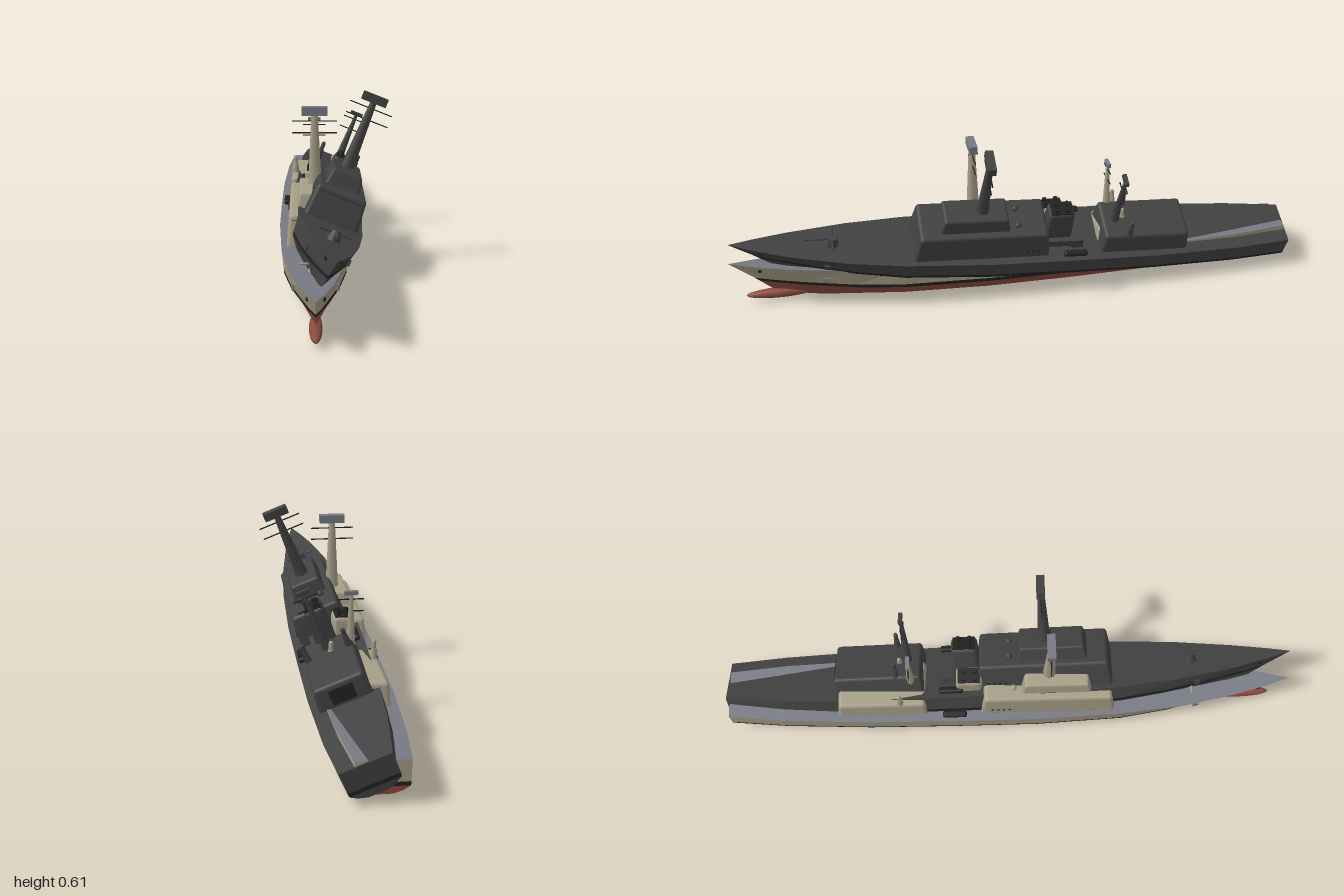
import * as THREE from 'three';
import { RoundedBoxGeometry } from 'three/addons/geometries/RoundedBoxGeometry.js';

const mat = (name, color) => {
  const m = new THREE.MeshStandardMaterial({ color, side: THREE.DoubleSide });
  m.name = name;
  return m;
};

// Hull rows from keel to deck: half widths and heights per station, z of the stem end
const T = [-1, -0.8, -0.5, -0.2, 0.1, 0.4, 0.6, 0.8, 0.92, 1];
const WL = [0.058, 0.057, 0.056, 0.056, 0.056, 0.058, 0.062, 0.07, 0.078, 0.085];
const WLX = [0.08, 0.098, 0.111, 0.114, 0.114, 0.1, 0.075, 0.038, 0.016, 0];
const ROWS = [
  { end: 0.78, x: [0.03, 0.035, 0.04, 0.04, 0.04, 0.035, 0.022, 0.01, 0.004, 0],
    y: [0.035, 0.018, 0.003, 0, 0, 0, 0, 0.005, 0.012, 0.025] },
  { end: 0.86, x: [0.06, 0.075, 0.085, 0.09, 0.09, 0.072, 0.048, 0.022, 0.009, 0],
    y: [0.045, 0.03, 0.022, 0.02, 0.02, 0.02, 0.024, 0.032, 0.04, 0.05] },
  { end: 0.9, x: WLX, y: WL },
  { end: 0.915, x: WLX.map(v => v * 1.015), y: WL.map(v => v + 0.013) },
  { end: 1, x: [0.083, 0.103, 0.117, 0.12, 0.12, 0.108, 0.088, 0.053, 0.024, 0],
    y: [0.14, 0.137, 0.135, 0.135, 0.135, 0.137, 0.142, 0.15, 0.158, 0.165] },
];
const hullPoint = (r, i, s) => {
  const t = T[i], z = t < 0.4 ? t : 0.4 + (t - 0.4) * (ROWS[r].end - 0.4) / 0.6;
  return [s * ROWS[r].x[i], ROWS[r].y[i], z];
};
const facets = (quads) => {
  const pos = [];
  for (const [a, b, c, d] of quads) pos.push(...a, ...b, ...c, ...a, ...c, ...d);
  const g = new THREE.BufferGeometry();
  g.setAttribute('position', new THREE.Float32BufferAttribute(pos, 3));
  g.computeVertexNormals();
  return g;
};
// Skin between two hull rows on the given sides, with its share of the transom
function hullBand(lo, hi) {
  const q = [];
  for (let i = 0; i < T.length - 1; i++) {
    q.push([hullPoint(lo, i, 1), hullPoint(lo, i + 1, 1), hullPoint(hi, i + 1, 1), hullPoint(hi, i, 1)].reverse());
    q.push([hullPoint(lo, i, -1), hullPoint(lo, i + 1, -1), hullPoint(hi, i + 1, -1), hullPoint(hi, i, -1)]);
  }
  q.push([hullPoint(lo, 0, -1), hullPoint(hi, 0, -1), hullPoint(hi, 0, 1), hullPoint(lo, 0, 1)]);
  return q;
}
function hullFloor(r, up) {
  const q = [];
  for (let i = 0; i < T.length - 1; i++) {
    const f = [hullPoint(r, i, -1), hullPoint(r, i + 1, -1), hullPoint(r, i + 1, 1), hullPoint(r, i, 1)];
    q.push(up ? f : f.reverse());
  }
  return q;
}
// Make sure every outward face points away from the hull axis
function orient(quads) {
  for (const q of quads) {
    const [a, b, c, d] = q.map(p => new THREE.Vector3(...p));
    const n = c.clone().sub(a).cross(d.clone().sub(b));
    const m = a.add(b).add(c).add(d).divideScalar(4);
    if (n.dot(new THREE.Vector3(m.x, m.y - 0.08, m.z < -0.99 ? -1 : 0)) < 0) q.reverse();
  }
  return facets(quads);
}

// Rounded block whose sides lean in towards the roof
function taperedBlock(w, h, d, taperX, taperZ, r) {
  const g = new RoundedBoxGeometry(w, h, d, 2, r);
  const p = g.attributes.position;
  for (let i = 0; i < p.count; i++) {
    const k = p.getY(i) / h + 0.5;
    p.setX(i, p.getX(i) * (1 - taperX * k));
    p.setZ(i, p.getZ(i) * (1 - taperZ * k));
  }
  g.computeVertexNormals();
  return g;
}

function buildShip(c, underwaterFittings) {
  const ship = new THREE.Group();
  const add = (name, geo, m, x = 0, y = 0, z = 0) => {
    const mesh = new THREE.Mesh(geo, m);
    mesh.name = name;
    mesh.position.set(x, y, z);
    ship.add(mesh);
    return mesh;
  };
  const box = (w, h, d) => new THREE.BoxGeometry(w, h, d);
  const cyl = (a, b, h, n = 12) => new THREE.CylinderGeometry(a, b, h, n);

  // Hull
  add('hullBottom', orient([...hullBand(0, 1), ...hullBand(1, 2), ...hullFloor(0, false)]), c.bottom);
  add('waterlineStripe', orient(hullBand(2, 3)), c.trim);
  add('hullSides', orient(hullBand(3, 4)), c.hull);
  add('deck', orient(hullFloor(4, true)), c.deck);
  if (underwaterFittings) {
    const bulb = add('bowBulb', new THREE.SphereGeometry(1, 20, 14), c.bottom, 0, 0.028, 0.83);
    bulb.scale.set(0.02, 0.018, 0.12);
    add('skeg', box(0.012, 0.04, 0.16), c.bottom, 0, 0.025, -0.72);
    for (const s of [-1, 1]) add('rudder', box(0.008, 0.04, 0.07), c.deck, s * 0.04, 0.026, -0.885);
  }

  // Superstructure
  add('forwardHouse', taperedBlock(0.186, 0.115, 0.48, 0.1, 0.07, 0.012), c.hull, 0, 0.185, 0.135);
  add('bridgeDeck', taperedBlock(0.122, 0.065, 0.25, 0.17, 0.12, 0.008), c.hull, 0, 0.261, 0.165);
  add('bridgeWindows', box(0.15, 0.006, 0.006), c.trim, 0, 0.222, 0.358);
  add('aftHouse', taperedBlock(0.184, 0.085, 0.32, 0.1, 0.05, 0.012), c.hull, 0, 0.168, -0.45);
  const door = add('hangarDoor', box(0.08, 0.048, 0.004), c.trim, 0, 0.168, -0.607);
  door.rotation.x = 0.09;
  for (const s of [-1, 1]) {
    for (let i = 0; i < 4; i++) add('porthole', box(0.004, 0.006, 0.008), c.trim, s * 0.091, 0.165, -0.06 + i * 0.02);
    add('roofDome', new THREE.SphereGeometry(0.011, 12, 8), c.hull, s * 0.037, 0.247, 0.015);
  }

  // Funnel with exhausts
  add('funnelBase', box(0.11, 0.03, 0.14), c.hull, 0, 0.148, -0.16);
  add('funnel', taperedBlock(0.075, 0.145, 0.1, 0.1, 0.1, 0.014), c.hull, 0, 0.21, -0.14);
  add('funnelCap', box(0.056, 0.008, 0.078), c.trim, 0, 0.281, -0.14);
  for (const x of [-0.014, 0.014])
    for (const z of [-0.16, -0.12]) add('exhaustPipe', cyl(0.009, 0.009, 0.016), c.trim, x, 0.288, z);

  // Masts with yards and a flat antenna on top
  const mast = (name, z, y0, y1, rb, rt, aw, ah, yards, reach) => {
    add(name, cyl(rt, rb, y1 - y0, 8), c.hull, 0, (y0 + y1) / 2, z);
    add(name + 'Antenna', box(aw, ah, ah), c.deck, 0, y1 + ah / 2, z);
    for (const y of yards) add(name + 'Yard', box(reach * 2, 0.0035, 0.0035), c.trim, 0, y, z);
  };
  mast('mainMast', 0.14, 0.285, 0.527, 0.023, 0.011, 0.087, 0.028, [0.507, 0.467], 0.075);
  mast('aftMast', -0.345, 0.2, 0.415, 0.017, 0.006, 0.046, 0.013, [0.4, 0.36], 0.042);

  // Small mounts on the aft roof, boats and anchors
  for (const s of [-1, 1]) {
    add('roofMount', cyl(0.009, 0.012, 0.04), c.hull, s * 0.07, 0.225, -0.385);
    add('mountHead', new THREE.CapsuleGeometry(0.0075, 0.02, 4, 10), c.hull, s * 0.07, 0.257, -0.385);
    add('boat', new RoundedBoxGeometry(0.024, 0.018, 0.085, 2, 0.008), c.trim, s * 0.098, 0.15, -0.195);
    const anchor = add('anchor', box(0.006, 0.018, 0.02), c.deck, s * 0.069, 0.1, 0.67);
    anchor.rotation.y = -s * 0.22;
    add('hawseHole', box(0.004, 0.01, 0.012), c.trim, s * 0.025, 0.138, 0.895).rotation.y = -s * 0.35;
  }

  // Foredeck gun
  add('gunTurret', cyl(0.014, 0.023, 0.032, 10), c.hull, 0, 0.16, 0.65);
  add('gunCrossbar', cyl(0.004, 0.004, 0.1, 8), c.hull, 0, 0.168, 0.65).rotation.z = Math.PI / 2;
  add('gunBarrel', cyl(0.003, 0.004, 0.09, 8), c.hull, 0, 0.172, 0.7).rotation.x = Math.PI / 2;
  return ship;
}

export function createModel() {
  const model = new THREE.Group();
  const beige = mat('beigePaint', 0xa59e86), grey = mat('deckGrey', 0x777983);
  const red = mat('redBottom', 0x8a4a3e), black = mat('blackTrim', 0x222222);
  const charcoal = mat('charcoal', 0x424242);

  const painted = buildShip({ hull: beige, deck: grey, bottom: red, trim: black }, true);
  painted.name = 'paintedShip';
  painted.position.x = -0.07;

  // Dark twin, heeled over and lying bow-up across the first hull
  const dark = buildShip({ hull: charcoal, deck: charcoal, bottom: charcoal, trim: black }, false);
  dark.name = 'darkShip';
  dark.position.set(-0.07, 0.066, 0);
  dark.rotation.set(-0.06, 0, -0.384);

  model.add(painted, dark);
  return model;
}
